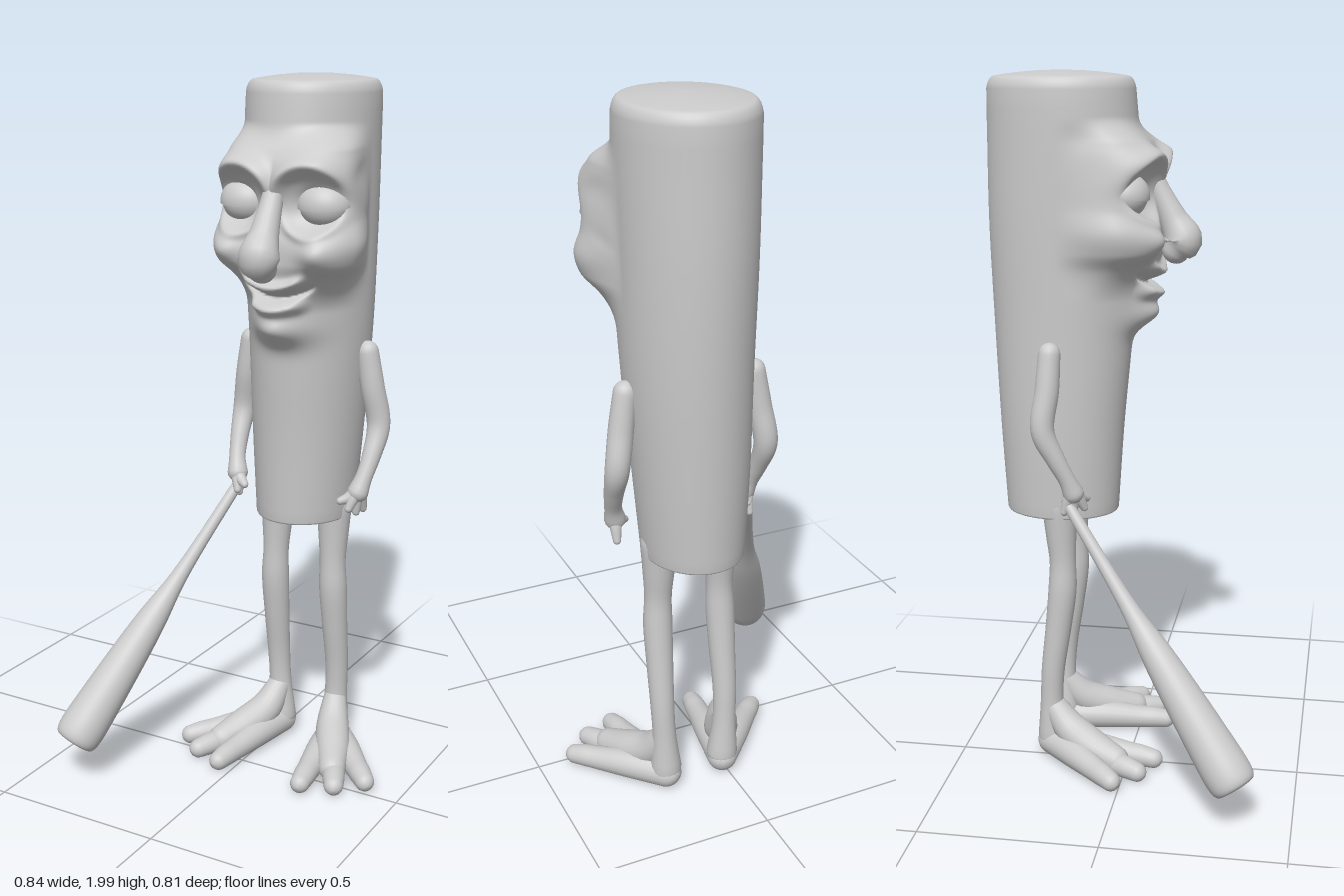
import * as THREE from 'three';

const material = new THREE.MeshStandardMaterial({ color: 0xcccccc, side: THREE.DoubleSide });
const smooth = THREE.MathUtils.smoothstep;
const MID = 0.1;    // mirror line of the limbs
const FACE = 0.125; // mirror line of the face

function add(parent, name, geometry) {
  const mesh = new THREE.Mesh(geometry, material);
  mesh.name = name;
  parent.add(mesh);
  return mesh;
}

// Smooth look-up in rows of [key, value, value, ...]
function table(rows) {
  const size = rows[0].length - 1;
  const interpolant = new THREE.CubicInterpolant(
    rows.map((r) => r[0]), rows.flatMap((r) => r.slice(1)), size, new Float32Array(size));
  return (key) => interpolant.evaluate(key);
}

// Skin over closed rings that all have the same number of points
function skin(rings) {
  const n = rings[0].length;
  const index = [];
  for (let i = 0; i < rings.length - 1; i++) {
    for (let j = 0; j < n; j++) {
      const a = i * n + j, b = i * n + (j + 1) % n;
      index.push(a, b, b + n, a, b + n, a + n);
    }
  }
  const geometry = new THREE.BufferGeometry().setFromPoints(rings.flat());
  geometry.setIndex(index);
  geometry.computeVertexNormals();
  return geometry;
}

// Round-ended limb through points [x, y, z, radius]
function limb(points, steps = 28, sides = 18) {
  const curve = new THREE.CatmullRomCurve3(points.map((p) => new THREE.Vector3(p[0], p[1], p[2])));
  const radius = table(points.map((p, i) => [i, p[3]]));
  const frames = curve.computeFrenetFrames(steps, false);
  const rings = [];
  const ring = (i, shift, scale) => {
    const u = i / steps;
    const r = radius(curve.getUtoTmapping(u) * (points.length - 1))[0];
    const centre = curve.getPointAt(u).addScaledVector(frames.tangents[i], shift * r);
    rings.push(Array.from({ length: sides }, (_, j) => {
      const a = j / sides * Math.PI * 2;
      return centre.clone()
        .addScaledVector(frames.normals[i], Math.cos(a) * r * scale)
        .addScaledVector(frames.binormals[i], Math.sin(a) * r * scale);
    }));
  };
  for (let k = 0; k < 5; k++) ring(0, -Math.cos(k * Math.PI / 10), Math.sin(k * Math.PI / 10));
  for (let i = 0; i <= steps; i++) ring(i, 0, 1);
  for (let k = 4; k >= 0; k--) ring(steps, Math.cos(k * Math.PI / 10), Math.sin(k * Math.PI / 10));
  return skin(rings);
}

// Body column: height, centre x, half width, back z, front z
const column = table([
  [0.76, 0.097, 0.138, -0.37, -0.045], [1.0, 0.102, 0.154, -0.385, -0.03],
  [1.3, 0.11, 0.168, -0.4, -0.005], [1.6, 0.11, 0.176, -0.41, 0.005],
  [1.85, 0.11, 0.18, -0.41, 0.01], [1.94, 0.11, 0.18, -0.41, 0.003],
]);
// Squarer mass of the face: height, half width, front z
const faceMass = table([
  [1.3, 0.165, 0], [1.4, 0.168, 0.02], [1.47, 0.183, 0.05], [1.52, 0.212, 0.07], [1.57, 0.226, 0.075],
  [1.64, 0.21, 0.06], [1.72, 0.203, 0.06], [1.78, 0.193, 0.06], [1.83, 0.182, 0.035], [1.9, 0.18, 0.01],
]);

const bell = (d, width) => Math.exp(-d * d / (width * width));

// Forward relief of the face at mirrored distance dx and height y
function relief(dx, y) {
  const d = Math.abs(dx);
  const spot = (x0, y0, w, h, depth) => depth * bell(d - x0, w) * bell(y - y0, h);
  const lip = (y0, bend, thick, reach, depth) =>
    depth * bell(y - y0 - bend * d * d, thick) * (1 - smooth(d, reach * 0.6, reach));
  const r = Math.hypot(d - 0.105, y - 1.68);
  return spot(0, 1.42, 0.11, 0.07, 0.045) + spot(0, 1.335, 0.075, 0.045, 0.06)
    + lip(1.395, 2.5, 0.018, 0.09, 0.035) + lip(1.425, 3.5, 0.01, 0.12, -0.025)
    + lip(1.455, 3, 0.016, 0.11, 0.03)
    + spot(0.14, 1.55, 0.05, 0.045, 0.035) + spot(0.11, 1.67, 0.06, 0.055, -0.055)
    + 0.035 * bell(r - 0.1, 0.024) * smooth(y, 1.62, 1.76)
    + 0.015 * bell(r - 0.085, 0.014) * (1 - smooth(y, 1.6, 1.68));
}

function bodyRing(y, scale = 1, height = y, sides = 180) {
  const [cx, rx, back, front] = column(y);
  const cz = (front + back) / 2, rz = (front - back) / 2;
  const [fw, fz] = faceMass(THREE.MathUtils.clamp(y, 1.3, 1.9));
  const amount = smooth(y, 1.38, 1.52) * (1 - smooth(y, 1.81, 1.88));
  return Array.from({ length: sides }, (_, j) => {
    const t = j / sides * Math.PI * 2;
    const a = t - 0.3 * Math.sin(t); // more points towards the front
    const s = Math.sin(a), c = Math.cos(a);
    const k = amount * smooth(c, 0, 0.6);
    const q = Math.pow(s ** 4 + c ** 4, -0.25);
    const x = THREE.MathUtils.lerp(cx + rx * s, FACE + fw * s * q, k);
    let z = THREE.MathUtils.lerp(cz + rz * c, cz + (fz - cz) * c * q, k);
    if (y > 1.2 && y < 1.9) z += relief(x - FACE, y) * smooth(c, 0.05, 0.5);
    return new THREE.Vector3(cx + (x - cx) * scale, height, cz + (z - cz) * scale);
  });
}

function buildBody() {
  const rings = [];
  // slightly hollow underside and its rim
  for (const [scale, y] of [[0, 0.785], [0.5, 0.783], [0.9, 0.775], [0.96, 0.763], [0.985, 0.76]]) {
    rings.push(bodyRing(0.76, scale, y));
  }
  for (let i = 0; i <= 14; i++) rings.push(bodyRing(0.765 + i * 0.031));
  for (let i = 0; i <= 140; i++) rings.push(bodyRing(1.21 + i * 0.005));
  // rounded shoulder and low dome of the top
  for (let i = 1; i <= 6; i++) {
    const a = i / 6 * Math.PI / 2;
    rings.push(bodyRing(1.94, 0.88 + 0.12 * Math.cos(a), 1.94 + 0.045 * Math.sin(a)));
  }
  for (const s of [0.75, 0.55, 0.3, 0]) rings.push(bodyRing(1.94, s, 2 - 0.0194 * s * s));
  return skin(rings);
}

function buildFaceParts(group) {
  add(group, 'nose', limb([
    [FACE, 1.76, 0.03, 0.026], [FACE, 1.68, 0.065, 0.03], [FACE, 1.6, 0.105, 0.04],
    [FACE, 1.54, 0.132, 0.056], [FACE, 1.515, 0.115, 0.04]]));
  for (const side of [-1, 1]) {
    const eye = new THREE.Group();
    eye.name = side > 0 ? 'leftEye' : 'rightEye';
    eye.position.set(FACE + side * 0.115, 1.67, -0.012);
    eye.scale.set(1.08, 0.95, 1);
    add(eye, 'eyeball', new THREE.SphereGeometry(0.063, 32, 24));
    const lid = add(eye, 'upperLid', new THREE.SphereGeometry(0.069, 32, 16, 0, Math.PI * 2, 0, Math.PI / 2));
    lid.rotation.x = 0.15;
    group.add(eye);
  }
}

function buildArm(side) {
  const arm = new THREE.Group();
  arm.name = side > 0 ? 'leftArm' : 'rightArm';
  const path = (pts) => limb(pts.map(([dx, ...rest]) => [MID + side * dx, ...rest]));
  add(arm, 'sleeve', path([
    [0.185, 1.25, -0.205, 0.031], [0.2, 1.15, -0.21, 0.034], [0.217, 1.04, -0.22, 0.033],
    [0.214, 0.96, -0.185, 0.027], [0.205, 0.9, -0.155, 0.024], [0.195, 0.86, -0.14, 0.03]]));
  // three fingers and a thumb
  for (const [z, y, dx] of [[-0.112, 0.815, 0.18], [-0.14, 0.8, 0.19], [-0.165, 0.805, 0.2], [-0.11, 0.835, 0.155]]) {
    add(arm, 'finger', path([
      [0.197, 0.87, -0.14, 0.02], [(0.197 + dx) / 2, 0.845, (z - 0.14) / 2, 0.017], [dx, y, z, 0.011]]));
  }
  return arm;
}

function buildLeg(side) {
  const leg = new THREE.Group();
  leg.name = side > 0 ? 'leftLeg' : 'rightLeg';
  const path = (pts) => limb(pts.map(([dx, ...rest]) => [MID + side * dx, ...rest]));
  add(leg, 'shin', path([
    [0.092, 0.79, -0.2, 0.052], [0.093, 0.7, -0.197, 0.044], [0.094, 0.62, -0.193, 0.038],
    [0.096, 0.54, -0.194, 0.041], [0.097, 0.42, -0.207, 0.038], [0.098, 0.28, -0.225, 0.034],
    [0.095, 0.18, -0.23, 0.034], [0.09, 0.07, -0.228, 0.045]]));
  add(leg, 'instep', path([
    [0.095, 0.17, -0.225, 0.034], [0.115, 0.105, -0.17, 0.048],
    [0.15, 0.07, -0.1, 0.05], [0.185, 0.05, -0.025, 0.04]]));
  // toes fanning out from the heel
  for (const [dx, z] of [[0.292, -0.02], [0.225, 0.045], [0.135, 0.08]]) {
    const mix = (t) => [0.09 + (dx - 0.09) * t, -0.23 + (z + 0.23) * t];
    const at = (t, r) => [mix(t)[0], r + 0.008, mix(t)[1], r];
    add(leg, 'toe', path([at(0, 0.044), at(0.4, 0.042), at(0.75, 0.034), at(0.88, 0.032), at(1, 0.028)]));
  }
  return leg;
}

// Bat trailing from the right hand to the front
function buildBat() {
  const from = new THREE.Vector3(-0.092, 0.84, -0.165), to = new THREE.Vector3(-0.36, 0.135, 0.352);
  const axis = to.clone().sub(from);
  const profile = new THREE.SplineCurve([
    [0.012, 0], [0.016, 0.05], [0.019, 0.25], [0.026, 0.4], [0.043, 0.54], [0.054, 0.68],
    [0.064, 0.86], [0.067, 0.95], [0.06, 0.99], [0.04, 1], [0, 1],
  ].map(([r, t]) => new THREE.Vector2(r, t * axis.length())));
  const points = profile.getPoints(60).map((p) => new THREE.Vector2(Math.max(p.x, 0), p.y));
  const geometry = new THREE.LatheGeometry(points, 32);
  geometry.applyQuaternion(new THREE.Quaternion().setFromUnitVectors(new THREE.Vector3(0, 1, 0), axis.normalize()));
  return geometry.translate(from.x, from.y, from.z);
}

export function createModel() {
  const model = new THREE.Group();
  model.name = 'figure';
  add(model, 'bodyAndHead', buildBody());
  buildFaceParts(model);
  for (const side of [-1, 1]) model.add(buildArm(side), buildLeg(side));
  add(model, 'bat', buildBat());
  return model;
}
